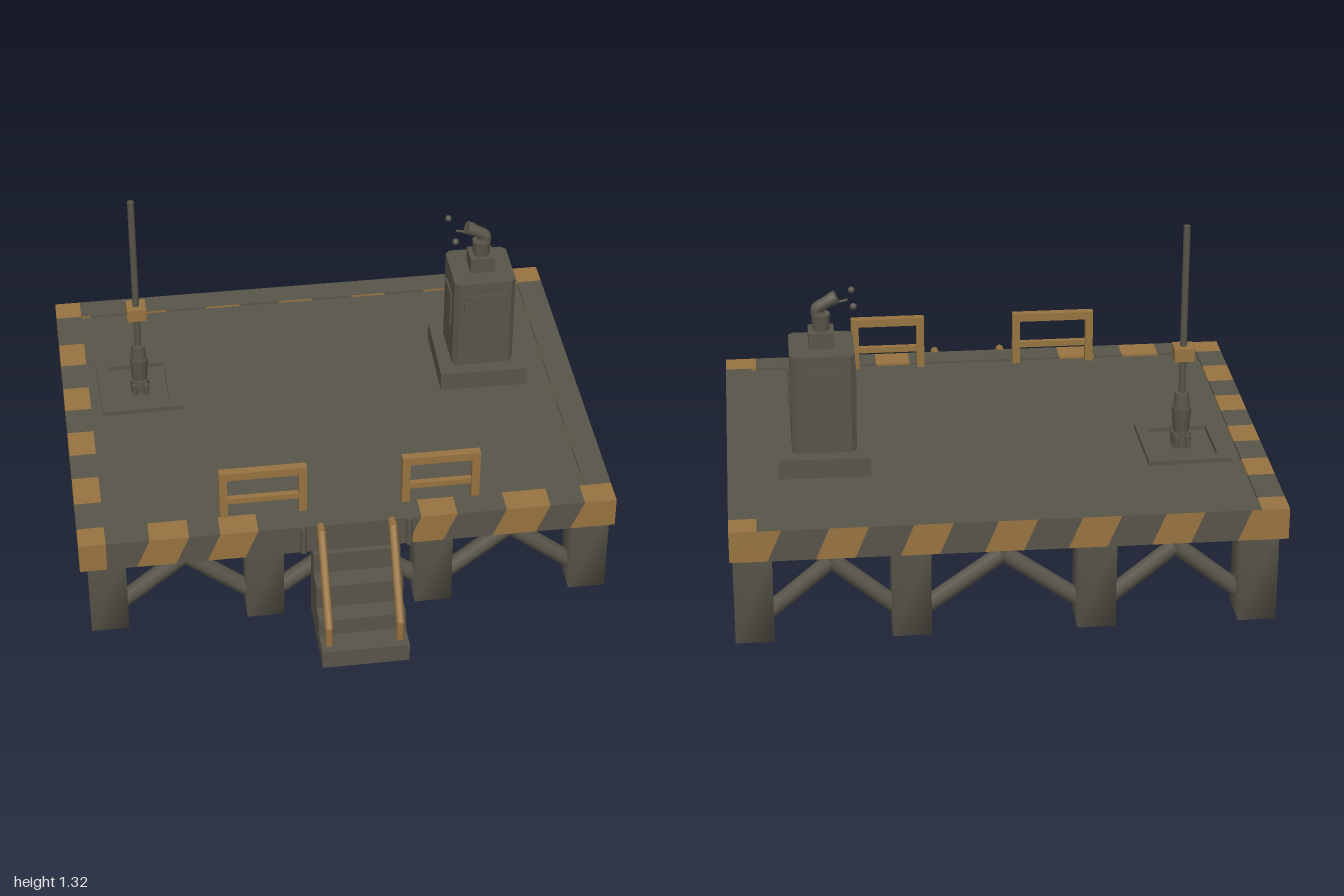
import * as THREE from 'three';
import { mergeVertices } from 'three/addons/utils/BufferGeometryUtils.js';

const grey = new THREE.MeshStandardMaterial({ color: 0x58544a });
grey.name = 'dark grey steel';
const gold = new THREE.MeshStandardMaterial({ color: 0x977340 });
gold.name = 'hazard ochre';

export function createModel() {
  const model = new THREE.Group();
  model.name = 'platform';

  const add = (name, geo, mat = grey, parent = model) => {
    const m = new THREE.Mesh(geo, mat);
    m.name = name;
    parent.add(m);
    return m;
  };
  // Box from its minimum and maximum corners
  const box = (name, x0, x1, y0, y1, z0, z1, mat = grey, parent = model) => {
    const m = add(name, new THREE.BoxGeometry(x1 - x0, y1 - y0, z1 - z0), mat, parent);
    m.position.set((x0 + x1) / 2, (y0 + y1) / 2, (z0 + z1) / 2);
    return m;
  };
  // Box with softened normals
  const soft = (mesh) => {
    const g = mesh.geometry;
    g.deleteAttribute('normal');
    g.deleteAttribute('uv');
    mesh.geometry = mergeVertices(g);
    mesh.geometry.computeVertexNormals();
    return mesh;
  };
  // Straight bar between two points
  const bar = (name, a, b, r, sides, mat = grey, parent = model) => {
    const p = new THREE.Vector3(...a), q = new THREE.Vector3(...b);
    const d = q.clone().sub(p);
    const m = add(name, new THREE.CylinderGeometry(r, r, d.length(), sides), mat, parent);
    m.position.copy(p).add(q).multiplyScalar(0.5);
    m.quaternion.setFromUnitVectors(new THREE.Vector3(0, 1, 0), d.normalize());
    return m;
  };
  // Tapered column around a vertical axis
  const column = (name, x, z, y0, y1, r0, r1, sides, parent = model) => {
    const m = add(name, new THREE.CylinderGeometry(r1, r0, y1 - y0, sides), grey, parent);
    m.position.set(x, (y0 + y1) / 2, z);
    return m;
  };
  const shapeOf = (pts) => new THREE.Shape(pts.map((p) => new THREE.Vector2(...p)));
  const extrude = (shape, depth) => new THREE.ExtrudeGeometry(shape, { depth, bevelEnabled: false });

  // Deck inside the rim
  const Y0 = 0.335, Y1 = 0.455, ZB = -0.9, ZF = 0.628, W = 0.1;
  box('deck', -0.92, 0.92, 0.425, 0.446, ZB + 0.08, ZF - 0.07);

  // Rim corners
  for (const x of [-1, 1 - W])
    for (const z of [ZB, ZF - W]) box('rimCorner', x, x + W, Y0, Y1, z, z + W, gold);

  // Striped rim: slanted segments along x or z, optionally with a plain top
  const rimSide = (name, along, outer, start, end, stripes, plainTop, lean) => {
    const cuts = [start, ...stripes.flat(), end];
    const group = new THREE.Group();
    group.name = name;
    model.add(group);
    for (let i = 0; i < cuts.length - 1; i++) {
      const a = cuts[i], b = cuts[i + 1];
      if (a === b) continue;
      const mat = i % 2 ? gold : grey;
      const top = plainTop ? grey : mat;
      const geo = along === 'x' ? new THREE.BoxGeometry(b - a, Y1 - Y0, W) : new THREE.BoxGeometry(W, Y1 - Y0, b - a);
      const pos = geo.attributes.position;
      const k = along === 'x' ? 0 : 2;
      for (let v = 0; v < pos.count; v++) {
        const s = pos.getComponent(v, k);
        const fixed = s < 0 ? a === start : b === end;
        if (!fixed) pos.setComponent(v, k, s + lean * Math.sign(pos.getY(v)));
      }
      const m = add(i % 2 ? 'rimStripe' : 'rimBar', geo, [mat, mat, top, mat, mat, mat], group);
      const mid = (a + b) / 2, y = (Y0 + Y1) / 2;
      if (along === 'x') m.position.set(mid, y, outer);
      else m.position.set(outer, y, mid);
    }
  };
  const E = 1 - W, zStart = ZB + W, zEnd = ZF - W;
  const xsFront = [[-0.765, -0.62], [-0.505, -0.365], [0.24, 0.375], [0.56, 0.725], [0.855, E]];
  const xsBack = [[-E, -0.84], [-0.67, -0.53], [-0.37, -0.23], [-0.07, 0.07], [0.23, 0.37], [0.53, 0.67], [0.84, E]];
  const zsLeft = [[zStart, -0.745], [-0.62, -0.5], [-0.36, -0.235], [-0.1, 0.03], [0.175, 0.315], [0.46, zEnd]];
  const zsRight = [[-0.64, -0.5], [-0.35, -0.21], [-0.07, 0.07], [0.21, 0.36]];
  rimSide('frontRim', 'x', ZF - W / 2, -E, E, xsFront, false, 0.025);
  rimSide('backRim', 'x', ZB + W / 2, -E, E, xsBack, true, -0.025);
  rimSide('leftRim', 'z', 1 - W / 2, zStart, zEnd, zsLeft, true, -0.025);
  rimSide('rightRim', 'z', -1 + W / 2, zStart, zEnd, zsRight, false, 0.025);

  // Legs around the edge, with an inverted V brace between neighbours
  const legs = [
    [-0.9, 0.515], [-0.313, 0.515], [0.325, 0.515], [0.92, 0.515], [0.92, -0.153],
    [0.92, -0.8], [0.355, -0.8], [-0.313, -0.8], [-0.9, -0.8], [-0.9, -0.153],
  ];
  legs.forEach(([x, z], i) => {
    const hz = z > 0 ? 0.07 : 0.081;
    soft(box('leg', x - 0.07, x + 0.07, 0, 0.37, z - hz, z + hz));
    const [nx, nz] = legs[(i + 1) % legs.length];
    const mx = (x + nx) / 2, mz = (z + nz) / 2;
    for (const [ex, ez] of [[x, z], [nx, nz]]) {
      const t = 0.2;
      bar('brace', [ex + (mx - ex) * t, 0.085, ez + (mz - ez) * t], [mx, 0.277, mz], 0.033, 8);
    }
  });

  // Open-backed staircase: two stepped side plates, treads and risers
  const steps = [[0.9, 0, 0.075, 0.805], [0.805, 0.075, 0.145, 0.73], [0.73, 0.145, 0.245, 0.65], [0.65, 0.245, 0.335, 0.57]];
  const stairs = new THREE.Group();
  stairs.name = 'stairs';
  model.add(stairs);
  const sideShape = shapeOf([[0.57, 0], ...steps.flatMap(([z, y0, y1]) => [[z, y0], [z, y1]]), [0.57, 0.335]]);
  for (const x of [-0.134, 0.185]) {
    const side = add('stairSide', extrude(sideShape, 0.006), grey, stairs);
    side.rotation.y = -Math.PI / 2;
    side.position.x = x;
  }
  for (const [z, y0, y1, back] of steps) {
    box('riser', -0.134, 0.179, y0, y1, z - 0.006, z, grey, stairs);
    box('tread', -0.134, 0.179, y1 - 0.006, y1, back - 0.006, z - 0.006, grey, stairs);
  }

  // Stair handrails and the brackets beside them
  for (const x of [-0.11, 0.155]) {
    bar('handrailPost', [x, 0.075, 0.858], [x, 0.16, 0.858], 0.015, 8, gold);
    bar('handrail', [x, 0.15, 0.858], [x, 0.45, 0.65], 0.016, 8, gold);
    bar('handrailEnd', [x, 0.448, 0.66], [x, 0.448, 0.62], 0.015, 8, gold);
  }
  for (const x of [-0.175, 0.22]) bar('stairBracket', [x, 0.34, 0.633], [x, 0.46, 0.633], 0.013, 8);

  // Safety railings on the deck
  for (const [a, b] of [[-0.472, -0.148], [0.207, 0.498]]) {
    const rail = new THREE.Group();
    rail.name = 'railing';
    model.add(rail);
    box('railTop', a, b, 0.626, 0.658, 0.502, 0.534, gold, rail);
    box('railMiddle', a + 0.03, b - 0.03, 0.512, 0.535, 0.507, 0.529, gold, rail);
    for (const x of [a, b - 0.03]) box('railPost', x, x + 0.03, 0.44, 0.63, 0.502, 0.534, gold, rail);
  }

  // Control console on a plinth
  const con = new THREE.Group();
  con.name = 'console';
  con.position.set(0.64, 0, -0.303);
  model.add(con);
  const plinth = box('plinth', -0.17, 0.17, 0.44, 0.522, -0.173, 0.173, grey, con);
  plinth.rotation.y = -0.02;
  const c = 0.018, hw = 0.119;
  const outline = shapeOf([[-hw + c, -hw], [hw - c, -hw], [hw, -hw + c], [hw, hw - c],
    [hw - c, hw], [-hw + c, hw], [-hw, hw - c], [-hw, -hw + c]]);
  const body = add('consoleBody', extrude(outline, 0.385), grey, con);
  body.rotation.x = -Math.PI / 2;
  body.position.y = 0.52;
  for (const s of [-1, 1]) {
    box('consolePanel', -0.08, 0.08, 0.77, 0.85, s * 0.121 - 0.004, s * 0.121 + 0.004, grey, con);
    box('sidePanel', s * 0.121 - 0.004, s * 0.121 + 0.004, 0.67, 0.82, -0.055, 0.055, grey, con);
  }
  box('neckBase', -0.047, 0.047, 0.9, 0.967, -0.046, 0.046, grey, con);
  column('neck', 0, 0, 0.965, 1.028, 0.032, 0.036, 10, con);
  const armPath = new THREE.CatmullRomCurve3([[0, 1.01], [0.016, 1.042], [-0.018, 1.068], [-0.055, 1.088]]
    .map(([x, y]) => new THREE.Vector3(x, y, 0)));
  add('nozzleArm', new THREE.TubeGeometry(armPath, 12, 0.023, 10), grey, con);
  bar('nozzleTip', [-0.036, 1.079, 0], [-0.06, 1.09, 0], 0.026, 10, grey, con);
  bar('lever', [-0.1, 1.078, 0], [-0.03, 1.06, 0], 0.005, 6, grey, con);
  for (const z of [-0.08, 0.08]) {
    const knob = add('knob', new THREE.SphereGeometry(0.013, 10, 8), grey, con);
    knob.position.set(-0.117, 1.083, z);
  }

  // Pole on a framed plate, passing through the deck
  const pole = new THREE.Group();
  pole.name = 'pole';
  pole.position.set(-0.705, 0, -0.315);
  model.add(pole);
  const frame = shapeOf([[-0.155, -0.17], [0.155, -0.17], [0.155, 0.17], [-0.155, 0.17]]);
  frame.holes.push(shapeOf([[-0.11, -0.12], [-0.11, 0.12], [0.11, 0.12], [0.11, -0.12]]));
  const plate = add('plateFrame', extrude(frame, 0.024), grey, pole);
  plate.rotation.set(-Math.PI / 2, 0, 0.02);
  plate.position.y = 0.44;
  const x = 0.005, z = 0.012;
  column('lowerSocket', x, z, 0.24, 0.315, 0.032, 0.034, 10, pole);
  column('lowerShaft', x, z, 0.31, 0.45, 0.037, 0.037, 10, pole);
  column('collar', x, z, 0.44, 0.5, 0.038, 0.038, 10, pole);
  column('socket', x, z, 0.5, 0.6, 0.03, 0.038, 10, pole);
  column('socketTop', x, z, 0.6, 0.658, 0.032, 0.026, 10, pole);
  for (const dx of [-0.022, 0.022])
    for (const dz of [-0.042, 0.042])
      bar('clampBolt', [x + dx, 0.44, z + dz], [x + dx, 0.495, z + dz], 0.01, 8, grey, pole);
  column('rod', x, z, 0.65, 1.32, 0.013, 0.013, 8, pole);
  box('poleMarker', x - 0.037, x + 0.037, 0.795, 0.846, z - 0.037, z + 0.037, gold, pole);

  return model;
}
